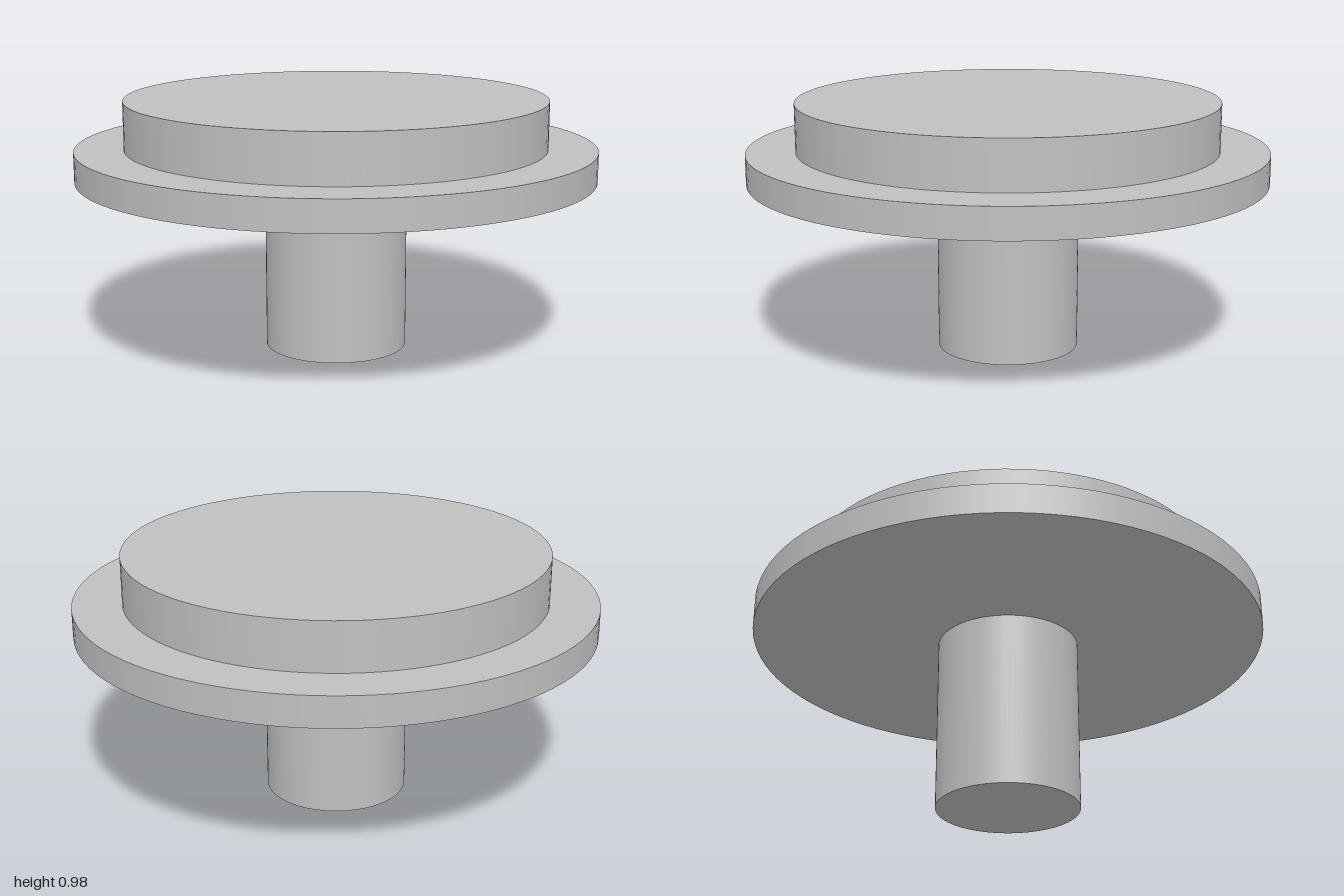
import * as THREE from 'three';

export function createModel() {
  const model = new THREE.Group();
  model.name = 'steppedDiscOnStem';
  const grey = new THREE.MeshStandardMaterial({ color: 0xc0c0c0 });
  grey.name = 'plain grey';

  // Upright disc spanning from one height to another
  function addDisc(name, radius, bottom, top) {
    const mesh = new THREE.Mesh(new THREE.CylinderGeometry(radius, radius, top - bottom, 96), grey);
    mesh.name = name;
    mesh.position.y = (bottom + top) / 2;
    model.add(mesh);
  }

  addDisc('stem', 0.275, 0, 0.68);
  addDisc('flange', 1, 0.68, 0.795);
  addDisc('topDisc', 0.812, 0.795, 0.98);

  return model;
}
